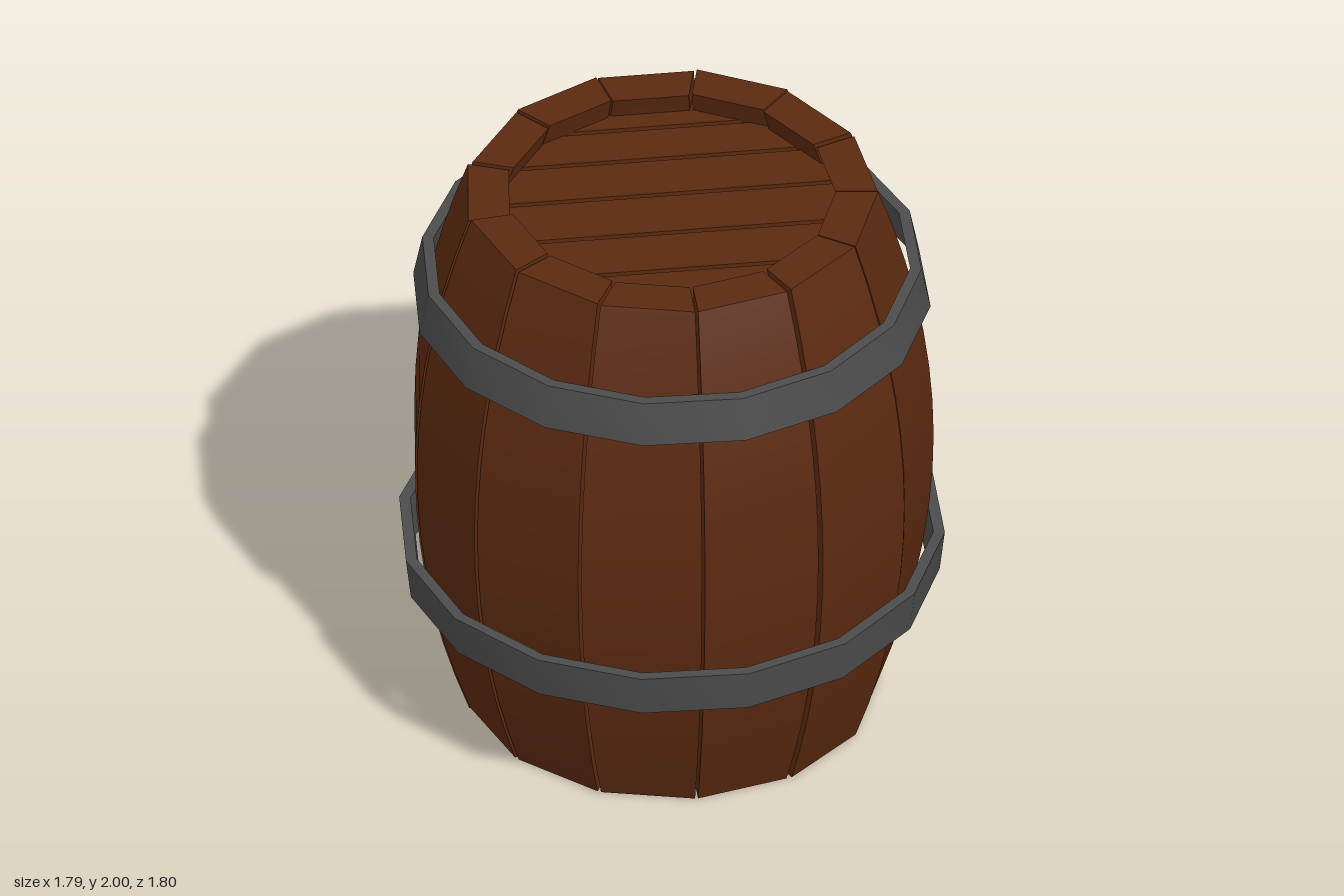
import * as THREE from 'three';
import { toCreasedNormals } from 'three/addons/utils/BufferGeometryUtils.js';

const wood = new THREE.MeshStandardMaterial({ color: 0x5c2a10 });
const iron = new THREE.MeshStandardMaterial({ color: 0x4c4c4c });
const STAVES = 13;
const CREASE = THREE.MathUtils.degToRad(30);

// bulging outer radius of the barrel at a height
const bulge = (y) => 0.865 - 0.185 * (y - 1) ** 2;

// one curved stave: a box bent around the axis, with a thin gap on both sides
function stave(centre, lift, push) {
  const g = new THREE.BoxGeometry(1, 1, 1, 1, 14, 1);
  const p = g.attributes.position;
  for (let i = 0; i < p.count; i++) {
    const y = (p.getY(i) + 0.5) * 1.99 + lift;
    const r = bulge(y) + push - (p.getZ(i) < 0 ? 0.14 : 0);
    const a = centre + Math.sign(p.getX(i)) * (Math.PI / STAVES - 0.005 / r);
    p.setXYZ(i, r * Math.sin(a), y, r * Math.cos(a));
  }
  return new THREE.Mesh(toCreasedNormals(g, CREASE), wood);
}

// flared iron band with 16 corners; the closing side at the back is shorter
function hoop(y0, y1, r0, r1) {
  const t = 0.038;
  const profile = [[r0, y0], [r1, y1], [r1 - t, y1], [r0 - t, y0], [r0, y0]]
    .map(([r, y]) => new THREE.Vector2(r, y));
  const g = new THREE.LatheGeometry(profile, 16);
  const p = g.attributes.position;
  const start = THREE.MathUtils.degToRad(186.2);
  const step = THREE.MathUtils.degToRad(22.91);
  for (let i = 0; i < p.count; i++) {
    const side = Math.floor(i / profile.length);
    const a = start + (side < 16 ? side * step : 0);
    const { x: r, y } = profile[i % profile.length];
    p.setXYZ(i, r * Math.sin(a), y, r * Math.cos(a));
  }
  return new THREE.Mesh(toCreasedNormals(g, CREASE), iron);
}

// round head of parallel planks, with a backing board behind the grooves
function head(y, inward) {
  const group = new THREE.Group();
  const R = 0.64, groove = 0.009, thick = 0.05;
  const cuts = [-0.62, -0.475, -0.3, -0.1, 0.115, 0.325, 0.5, 0.62];
  const chord = (z) => Math.sqrt(R * R - z * z);
  for (let i = 0; i < cuts.length - 1; i++) {
    const a = cuts[i] + groove, b = cuts[i + 1] - groove;
    const shape = new THREE.Shape([
      new THREE.Vector2(-chord(a), -a), new THREE.Vector2(-chord(b), -b),
      new THREE.Vector2(chord(b), -b), new THREE.Vector2(chord(a), -a),
    ]);
    const g = new THREE.ExtrudeGeometry(shape, { depth: thick, bevelEnabled: false });
    g.rotateX(-Math.PI / 2);
    const plank = new THREE.Mesh(g, wood);
    plank.name = 'headPlank';
    plank.position.y = y - thick / 2;
    group.add(plank);
  }
  const back = new THREE.Mesh(new THREE.CylinderGeometry(0.63, 0.63, 0.02, 26), wood);
  back.name = 'headBacking';
  back.position.y = y + inward * (thick / 2 + 0.005);
  group.add(back);
  return group;
}

export function createModel() {
  const model = new THREE.Group();
  model.name = 'barrel';
  const add = (name, part) => { part.name = name; model.add(part); };

  // staves, each very slightly out of line with its neighbours
  const staves = new THREE.Group();
  for (let i = 0; i < STAVES; i++) {
    const lift = (i * 5 % 3) * 0.005;
    const push = ((i * 7 % 4) - 1.5) * 0.004;
    const s = stave((i + 0.5) * 2 * Math.PI / STAVES, lift, push);
    s.name = 'stave';
    staves.add(s);
  }
  add('staves', staves);

  // sunken heads
  add('topHead', head(1.885, -1));
  add('bottomHead', head(0.115, 1));

  // iron hoops
  add('upperHoop', hoop(1.575, 1.725, 0.86, 0.83));
  add('lowerHoop', hoop(0.505, 0.655, 0.89, 0.907));
  return model;
}
